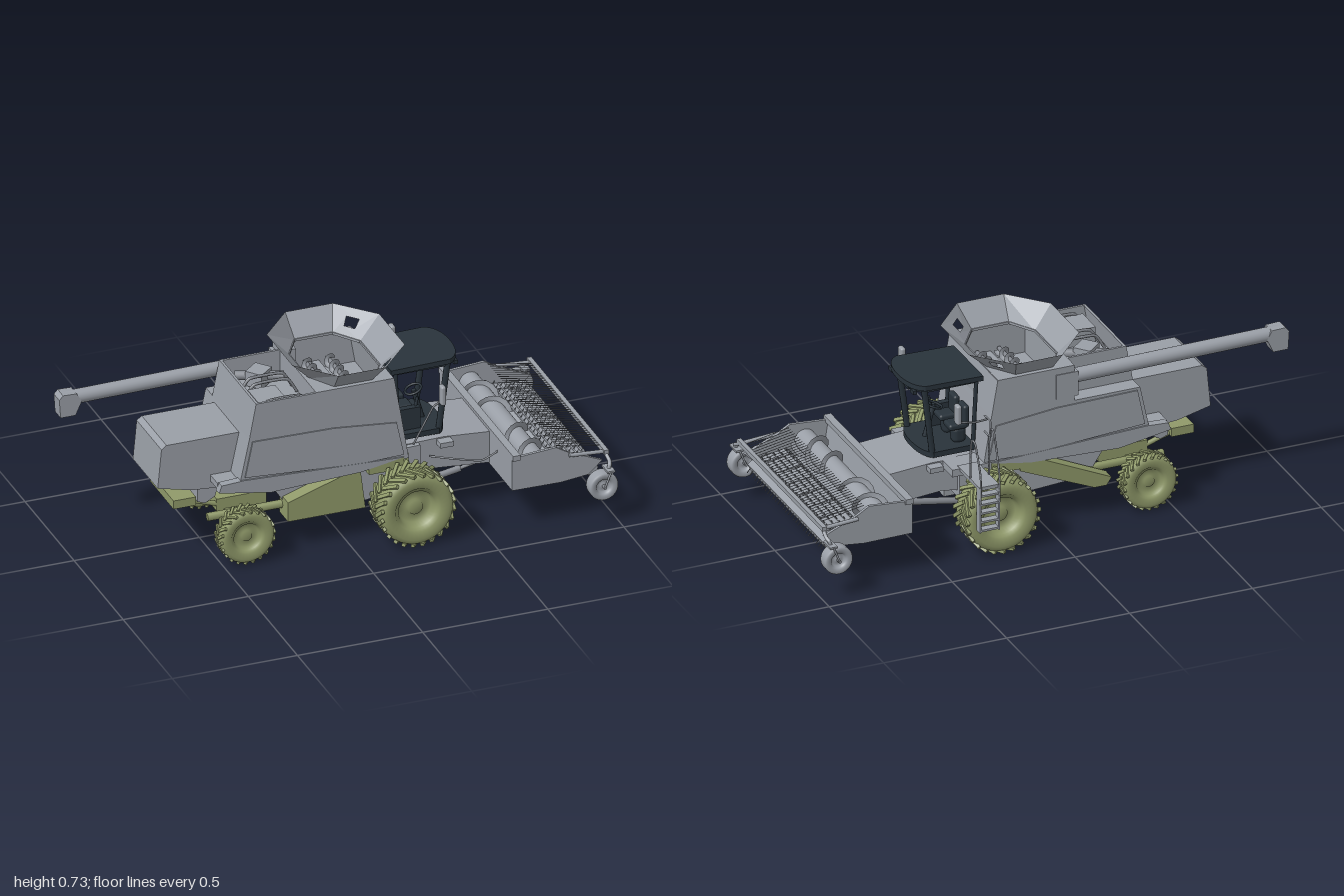
import * as THREE from 'three';
import { mergeGeometries } from 'three/addons/utils/BufferGeometryUtils.js';
import { ParametricGeometry } from 'three/addons/geometries/ParametricGeometry.js';
import { RoundedBoxGeometry } from 'three/addons/geometries/RoundedBoxGeometry.js';

export function createModel() {
  const root = new THREE.Group();
  root.name = 'combineHarvester';
  const material = (name, color, side = THREE.FrontSide) => {
    const m = new THREE.MeshStandardMaterial({ color, side });
    m.name = name;
    return m;
  };
  const grey = material('greyPaint', 0x9a9fa7, THREE.DoubleSide);
  const steel = material('darkSteel', 0x84888f);
  const green = material('olivePaint', 0x909a6a);
  const dark = material('cabDark', 0x29333b);

  // Helpers
  const add = (name, geo, mat, parent = root) => {
    const m = new THREE.Mesh(geo, mat);
    m.name = name;
    parent.add(m);
    return m;
  };
  const boxGeo = (w, h, d, x, y, z) => new THREE.BoxGeometry(w, h, d).translate(x, y, z);
  const box = (name, mat, ...a) => add(name, boxGeo(...a), mat);
  const softBox = (name, mat, w, h, d, x, y, z) =>
    add(name, new RoundedBoxGeometry(w, h, d, 2, Math.min(w, h, d) * 0.4).translate(x, y, z), mat);
  const shapeOf = (pts) => new THREE.Shape(pts.map(([x, y]) => new THREE.Vector2(x, y)));
  const prism = (name, mat, pts, z0, z1) => add(name,
    new THREE.ExtrudeGeometry(shapeOf(pts), { depth: z1 - z0, bevelEnabled: false }).translate(0, 0, z0), mat);
  const slab = (name, mat, shape, y, h) => add(name,
    new THREE.ExtrudeGeometry(shape, { depth: h, bevelEnabled: false, curveSegments: 10 }).rotateX(-Math.PI / 2).translate(0, y, 0), mat);
  const rodGeo = (a, b, r, n = 8) => {
    const p = new THREE.Vector3(...a), q = new THREE.Vector3(...b), d = q.clone().sub(p);
    const turn = new THREE.Quaternion().setFromUnitVectors(new THREE.Vector3(0, 1, 0), d.clone().normalize());
    return new THREE.CylinderGeometry(r, r, d.length(), n).applyQuaternion(turn).translate(...p.add(q).multiplyScalar(0.5).toArray());
  };
  const rod = (name, mat, a, b, r, n) => add(name, rodGeo(a, b, r, n), mat);
  const pipe = (name, mat, pts, r) => add(name, new THREE.TubeGeometry(
    new THREE.CatmullRomCurve3(pts.map((p) => new THREE.Vector3(...p)), false, 'catmullrom', 0.25), 32, r, 6), mat);

  // Main body, open above for the grain tank and engine bay
  prism('bodyShell', grey, [[-0.425, 0.32], [-0.387, 0.5], [0.217, 0.5], [0.25, 0.3], [0.06, 0.28], [-0.3, 0.28]], -0.222, 0.222);
  const wall = [[-0.387, 0.5], [-0.36, 0.645], [0.192, 0.645], [0.217, 0.5]];
  prism('bodyWallLeft', grey, wall, 0.212, 0.222);
  prism('engineBayWall', grey, [wall[0], wall[1], [-0.1, 0.645], [-0.1, 0.5]], -0.155, -0.145);
  prism('tankWallRight', grey, [[-0.12, 0.5], [-0.12, 0.645], wall[2], wall[3]], -0.222, -0.212);
  prism('tankWallFront', grey, [[0.205, 0.5], [0.18, 0.645], wall[2], wall[3]], -0.222, 0.222);
  box('tankWallBack', grey, 0.01, 0.145, 0.44, -0.115, 0.5725, 0);
  prism('engineBayBack', grey, [wall[0], wall[1], [-0.35, 0.645], [-0.377, 0.5]], -0.155, 0.222);
  for (const s of [1, -1]) {
    const z = s > 0 ? 0.22 : -0.227;
    prism('sidePanel', grey, [[-0.405, 0.345], [-0.375, 0.49], [-0.05, 0.485], [0.2, 0.46], [0.23, 0.32], [0.06, 0.315]], z, z + 0.007);
    prism('skirt', grey, [[-0.51, 0.3], [-0.5, 0.33], [-0.41, 0.335], [0.23, 0.31], [0.06, 0.28], [-0.3, 0.265]], s > 0 ? 0.195 : -0.228, s > 0 ? 0.228 : -0.195);
  }
  box('skirtBack', grey, 0.1, 0.025, 0.4, -0.455, 0.315, 0);

  // Engine bay contents
  box('engineDeck', grey, 0.25, 0.06, 0.34, -0.235, 0.53, 0.03);
  box('coolerBox', grey, 0.11, 0.07, 0.12, -0.28, 0.59, 0.13);
  const cleaner = box('airCleaner', grey, 0.08, 0.06, 0.07, 0, 0, 0);
  cleaner.rotation.y = 0.7;
  cleaner.position.set(-0.24, 0.6, -0.06);
  rod('exhaust', steel, [-0.32, 0.6, -0.1], [-0.15, 0.6, -0.03], 0.018, 14);
  for (const z of [0, 0.05, 0.19]) pipe('enginePipe', steel, [[-0.34, 0.57, z], [-0.3, 0.63, z], [-0.17, 0.63, z], [-0.13, 0.57, z]], 0.006);

  // Tank deck with octagonal opening, flared hopper and levelling augers
  const octagon = (x0, xa, xb, x1, za, zb) =>
    [[xa, zb], [xb, zb], [x1, za], [x1, -za], [xb, -zb], [xa, -zb], [x0, -za], [x0, za]];
  const low = octagon(-0.1, -0.04, 0.11, 0.18, 0.1, 0.2), high = octagon(-0.18, -0.05, 0.14, 0.27, 0.13, 0.272);
  const deck = shapeOf([[-0.12, -0.222], [0.19, -0.222], [0.19, 0.222], [-0.12, 0.222]]);
  deck.holes.push(new THREE.Path(low.map(([x, z]) => new THREE.Vector2(x, z))));
  slab('tankDeck', grey, deck, 0.637, 0.01);
  const pos = [];
  const quad = (a, b, c, d) => [a, b, c, a, c, d].forEach((p) => pos.push(...p.toArray()));
  for (let i = 0; i < 8; i++) {
    const j = (i + 1) % 8;
    const at = (u, v) => {
      const mix = (k) => THREE.MathUtils.lerp(THREE.MathUtils.lerp(low[i][k], low[j][k], u), THREE.MathUtils.lerp(high[i][k], high[j][k], u), v);
      return new THREE.Vector3(mix(0), 0.643 + 0.085 * v, mix(1));
    };
    const outer = [at(0, 0), at(1, 0), at(1, 1), at(0, 1)];
    // The two front corner panels have windows
    if (i === 1 || i === 3) {
      const inner = [at(0.34, 0.35), at(0.66, 0.35), at(0.66, 0.68), at(0.34, 0.68)];
      for (let k = 0; k < 4; k++) quad(outer[k], outer[(k + 1) % 4], inner[(k + 1) % 4], inner[k]);
    } else quad(...outer);
  }
  const hopper = new THREE.BufferGeometry().setAttribute('position', new THREE.Float32BufferAttribute(pos, 3));
  hopper.computeVertexNormals();
  add('hopper', hopper, grey);
  const flight = (r0, r1, turns, len, flip = 1) => new ParametricGeometry((u, v, t) => {
    const a = u * turns * Math.PI * 2 * flip, r = r0 + (r1 - r0) * v;
    t.set(Math.cos(a) * r, Math.sin(a) * r, u * len);
  }, Math.ceil(turns * 16), 1);
  for (const x of [0, 0.09]) {
    rod('tankAuger', steel, [x, 0.545, -0.2], [x, 0.545, 0.2], 0.009);
    add('tankAugerFlight', flight(0.008, 0.026, 8, 0.38), grey).position.set(x, 0.545, -0.19);
  }
  box('tankCross', grey, 0.03, 0.03, 0.42, 0.045, 0.52, 0);

  // Rear straw hood and chaff parts
  prism('strawHood', grey, [[-0.715, 0.31], [-0.7, 0.47], [-0.68, 0.485], [-0.38, 0.485], [-0.3, 0.256], [-0.58, 0.277]], -0.128, 0.125);
  prism('chaffChute', grey, [[-0.55, 0.28], [-0.55, 0.215], [-0.52, 0.203], [-0.48, 0.225], [-0.465, 0.28]], -0.11, 0.11);
  box('rearFrame', green, 0.09, 0.035, 0.24, -0.605, 0.225, 0);
  for (const z of [-0.09, 0.09]) rod('rearFrameBar', green, [-0.6, 0.225, z], [-0.4, 0.16, z], 0.01);

  // Unloading auger
  rod('unloadingAuger', grey, [-0.98, 0.589, -0.178], [-0.07, 0.59, -0.196], 0.028, 20);
  prism('augerSpout', grey, [[-1, 0.6], [-0.985, 0.617], [-0.93, 0.615], [-0.91, 0.58], [-0.935, 0.525], [-0.995, 0.525]], -0.207, -0.15);
  box('augerElbow', grey, 0.09, 0.1, 0.05, -0.09, 0.57, -0.2);

  // Underbody, axles and side guards
  prism('underbody', grey, [[-0.3, 0.29], [-0.2, 0.14], [0.1, 0.12], [0.32, 0.15], [0.32, 0.31], [0.06, 0.3]], -0.16, 0.16);
  box('towBlock', grey, 0.06, 0.05, 0.08, 0.3, 0.13, 0);
  box('frontAxle', green, 0.08, 0.045, 0.46, 0.232, 0.13, 0);
  for (const s of [1, -1]) {
    box('frontAxleLeg', green, 0.08, 0.17, 0.03, 0.22, 0.22, s * 0.18);
    box('wheelArchPlate', green, 0.14, 0.05, 0.06, 0.16, 0.285, s * 0.195);
    rod('frameRail', green, [-0.52, 0.155, s * 0.13], [-0.2, 0.165, s * 0.15], 0.016, 6);
    box('steeringKnuckle', green, 0.05, 0.07, 0.04, -0.41, 0.15, s * 0.165);
  }
  prism('fuelTank', green, [[-0.23, 0.12], [-0.23, 0.2], [0, 0.275], [0.06, 0.28], [0.08, 0.12]], 0.13, 0.215);
  prism('driveCover', green, [[-0.27, 0.15], [-0.25, 0.12], [-0.2, 0.12], [0.1, 0.25], [0.1, 0.285], [0.03, 0.29]], -0.225, -0.17);
  box('rearAxle', green, 0.06, 0.05, 0.42, -0.41, 0.135, 0);
  box('rearAxleBracket', green, 0.2, 0.05, 0.2, -0.37, 0.18, 0);

  // Wheels with stepped rims and chevron lugs
  function wheel(name, x, y, z, R, w, mat, lugs) {
    const g = new THREE.Group();
    g.name = name;
    g.position.set(x, y, z);
    root.add(g);
    const T = lugs ? R * 0.965 : R, h = w / 2;
    const side = [[0.001, 0.5], [0.2, 0.5], [0.22, 0.35], [0.45, 0.35], [0.52, 0.75], [0.6, 0.8], [0.64, 0.95], [0.84, 1], [0.96, 0.9], [1, 0.7]];
    const prof = [...side.map(([r, a]) => [r, -a]), ...side.slice().reverse()].map(([r, a]) => new THREE.Vector2(r * T, a * h));
    add('tyreAndRim', new THREE.LatheGeometry(prof, 36).rotateX(Math.PI / 2), mat, g);
    const parts = [];
    for (let i = 0; i < lugs; i++) for (const s of [1, -1]) {
      parts.push(new THREE.BoxGeometry(R * 0.1, R * 0.08, w * 0.6).rotateY(s * 0.65)
        .translate(0, R * 0.955, s * w * 0.25).rotateZ((i + (s > 0 ? 0 : 0.5)) / lugs * Math.PI * 2));
    }
    if (lugs) add('lugs', mergeGeometries(parts), mat, g);
  }
  for (const s of [1, -1]) {
    wheel('frontWheel', 0.232, 0.152, s * 0.304, 0.15, 0.132, green, 24);
    wheel('rearWheel', -0.41, 0.115, s * 0.236, 0.11, 0.074, green, 22);
    wheel('gaugeWheel', 0.94, 0.158, s * 0.432, 0.057, 0.052, grey, 0);
  }

  // Cab
  const plan = (x0, x1, bulge, z) => {
    const s = new THREE.Shape();
    s.moveTo(x0, -z);
    s.lineTo(x1, -z);
    s.quadraticCurveTo(x1 + bulge, -z * 0.8, x1 + bulge, 0);
    s.quadraticCurveTo(x1 + bulge, z * 0.8, x1, z);
    s.lineTo(x0, z);
    return s;
  };
  slab('cabRoof', dark, plan(0.225, 0.46, 0.055, 0.137), 0.606, 0.02).rotation.z = 0.02;
  slab('cabRoofLining', dark, plan(0.235, 0.44, 0.05, 0.125), 0.602, 0.014);
  slab('cabFloor', dark, plan(0.23, 0.41, 0.04, 0.128), 0.325, 0.022);
  for (const s of [1, -1]) {
    rod('frontPost', dark, [0.41, 0.33, s * 0.115], [0.445, 0.612, s * 0.118], 0.012, 6);
    rod('rearPost', dark, [0.25, 0.33, s * 0.122], [0.235, 0.61, s * 0.122], 0.008, 6);
    for (const k of [0.05, 0.1]) box('workLamp', dark, 0.015, 0.015, 0.03, 0.48, 0.605, s * k);
    softBox('mirror', grey, 0.02, 0.08, 0.036, 0.37, 0.56, s * 0.258);
    box('cabStep', grey, 0.055, 0.02, 0.05, 0.42, 0.3, s * 0.155);
  }
  pipe('mirrorArmLeft', steel, [[0.365, 0.56, 0.262], [0.36, 0.52, 0.243], [0.34, 0.5, 0.235], [0.27, 0.35, 0.217]], 0.004);
  pipe('mirrorArmRight', steel, [[0.365, 0.56, -0.262], [0.36, 0.52, -0.245], [0.3, 0.505, -0.245], [0.24, 0.505, -0.24]], 0.004);
  box('rearWindowFrame', steel, 0.006, 0.07, 0.14, 0.21, 0.555, 0);
  box('rearWindow', grey, 0.008, 0.062, 0.132, 0.211, 0.555, 0);
  for (const z of [0.022, -0.066]) {
    softBox('seatBase', dark, 0.055, 0.07, 0.05, 0.285, 0.375, z);
    softBox('seatCushion', dark, 0.075, 0.025, 0.066, 0.295, 0.415, z);
    softBox('seatBack', dark, 0.024, 0.09, 0.062, 0.262, 0.45, z);
  }
  rod('steeringColumn', dark, [0.385, 0.34, 0.015], [0.35, 0.465, 0.015], 0.01);
  const steering = add('steeringWheel', new THREE.TorusGeometry(0.032, 0.005, 6, 20).rotateX(Math.PI / 2), dark);
  steering.position.set(0.348, 0.468, 0.015);
  steering.rotation.z = 0.35;
  box('controlConsole', dark, 0.09, 0.09, 0.025, 0.3, 0.39, 0.085);
  rod('controlLever', dark, [0.33, 0.42, 0.08], [0.34, 0.47, 0.08], 0.006);

  // Access platform, ladder and handrails
  box('platform', grey, 0.08, 0.014, 0.2, 0.31, 0.312, -0.31);
  box('platformBracket', grey, 0.16, 0.03, 0.1, 0.3, 0.3, -0.18);
  [[0.272, 0.52], [0.348, 0.487]].forEach(([x, top]) => {
    box('ladderRail', grey, 0.006, 0.185, 0.03, x, 0.225, -0.402);
    pipe('handrail', steel, [[x, 0.315, -0.322], [x, top - 0.07, -0.324], [x, top - 0.008, -0.334], [x, top, -0.35], [x, top - 0.008, -0.37], [x, 0.37, -0.417], [x, 0.25, -0.418]], 0.004);
  });
  for (let i = 0; i < 5; i++) box('ladderRung', grey, 0.076, 0.008, 0.03, 0.31, 0.14 + i * 0.036, -0.402);
  pipe('sideRail', steel, [[0.24, 0.505, -0.21], [0.24, 0.505, -0.262], [0.24, 0.44, -0.262], [0.24, 0.44, -0.21]], 0.004);

  // Feeder house with lift cylinders
  prism('feederHouse', grey, [[0.22, 0.31], [0.42, 0.315], [0.62, 0.3], [0.62, 0.17], [0.38, 0.19], [0.22, 0.16]], -0.143, 0.14);
  for (const s of [1, -1]) {
    rod('liftCylinder', steel, [0.3, 0.115, s * 0.105], [0.5, 0.15, s * 0.105], 0.013, 12);
    rod('liftPiston', steel, [0.5, 0.15, s * 0.105], [0.61, 0.175, s * 0.105], 0.007);
  }
  pipe('hydraulicHose', steel, [[0.36, 0.25, 0.15], [0.45, 0.24, 0.19], [0.55, 0.22, 0.2], [0.61, 0.26, 0.22]], 0.004);

  // Pickup header frame
  for (const s of [1, -1]) prism('headerEnd', grey,
    [[0.605, 0.165], [0.605, 0.3], [0.78, 0.313], [0.83, 0.283], [0.965, 0.225], [0.91, 0.175], [0.8, 0.163]],
    s > 0 ? 0.358 : -0.37, s > 0 ? 0.37 : -0.358);
  prism('headerBack', grey, [[0.605, 0.165], [0.605, 0.3], [0.625, 0.3], [0.64, 0.2], [0.69, 0.178], [0.8, 0.178], [0.8, 0.163]], -0.365, 0.365);
  box('headerTopBeam', grey, 0.03, 0.022, 0.76, 0.62, 0.303, 0);

  // Cross auger with opposed flighting
  rod('crossAuger', grey, [0.72, 0.24, -0.358], [0.72, 0.24, 0.358], 0.042, 24);
  for (const s of [1, -1]) {
    const f = add('crossAugerFlight', flight(0.04, 0.063, 2, 0.27, s), grey);
    f.position.set(0.72, 0.24, s > 0 ? 0.08 : -0.35);
  }

  // Pickup belts with slats and tines
  prism('pickupBelt', grey, [[0.785, 0.21], [0.8, 0.222], [0.93, 0.207], [0.957, 0.188], [0.945, 0.16], [0.8, 0.168]], -0.35, 0.35);
  const slats = [], tines = [];
  for (let i = 0; i < 6; i++) {
    const x = 0.805 + i * 0.025, y = 0.221 - i * 0.0029;
    slats.push(boxGeo(0.007, 0.006, 0.69, x, y, 0));
    for (let k = 0; k < 22; k++) {
      const z = -0.34 + (k + (i % 2) / 2) * 0.0315;
      tines.push(rodGeo([x, y, z], [x + 0.008, y + 0.014, z], 0.0018, 4));
    }
  }
  for (let k = 0; k < 30; k++) tines.push(rodGeo([0.95, 0.175, -0.34 + k * 0.0234], [0.963, 0.158, -0.34 + k * 0.0234], 0.002, 4));
  add('beltSlats', mergeGeometries(slats), grey);
  add('beltTines', mergeGeometries(tines), steel);
  for (let k = -3; k <= 3; k++) rod('beltSeam', steel, [0.8, 0.222, k * 0.1], [0.93, 0.207, k * 0.1], 0.003, 4);

  // Wind guard bar with rods, and gauge wheel arms
  box('windGuardBar', grey, 0.018, 0.018, 0.79, 0.972, 0.268, 0);
  const rods = [];
  for (let k = 0; k < 40; k++) {
    const z = -0.345 + k * 0.0177;
    rods.push(rodGeo([0.972, 0.275, z], [0.79, 0.308, z], 0.0015, 4));
  }
  add('windGuardRods', mergeGeometries(rods), steel);
  for (const s of [1, -1]) {
    rod('windGuardArm', grey, [0.83, 0.275, s * 0.378], [0.972, 0.265, s * 0.378], 0.008);
    pipe('gaugeWheelArm', grey, [[0.972, 0.262, s * 0.38], [0.975, 0.245, s * 0.415], [0.97, 0.235, s * 0.432], [0.965, 0.218, s * 0.434]], 0.008);
    box('gaugeForkTop', grey, 0.03, 0.008, 0.064, 0.965, 0.22, s * 0.432);
    for (const k of [-0.03, 0.03]) rod('gaugeFork', grey, [0.965, 0.22, s * 0.432 + k], [0.94, 0.158, s * 0.432 + k], 0.004);
    rod('gaugeAxle', steel, [0.94, 0.158, s * 0.432 - 0.034], [0.94, 0.158, s * 0.432 + 0.034], 0.006);
  }
  return root;
}
